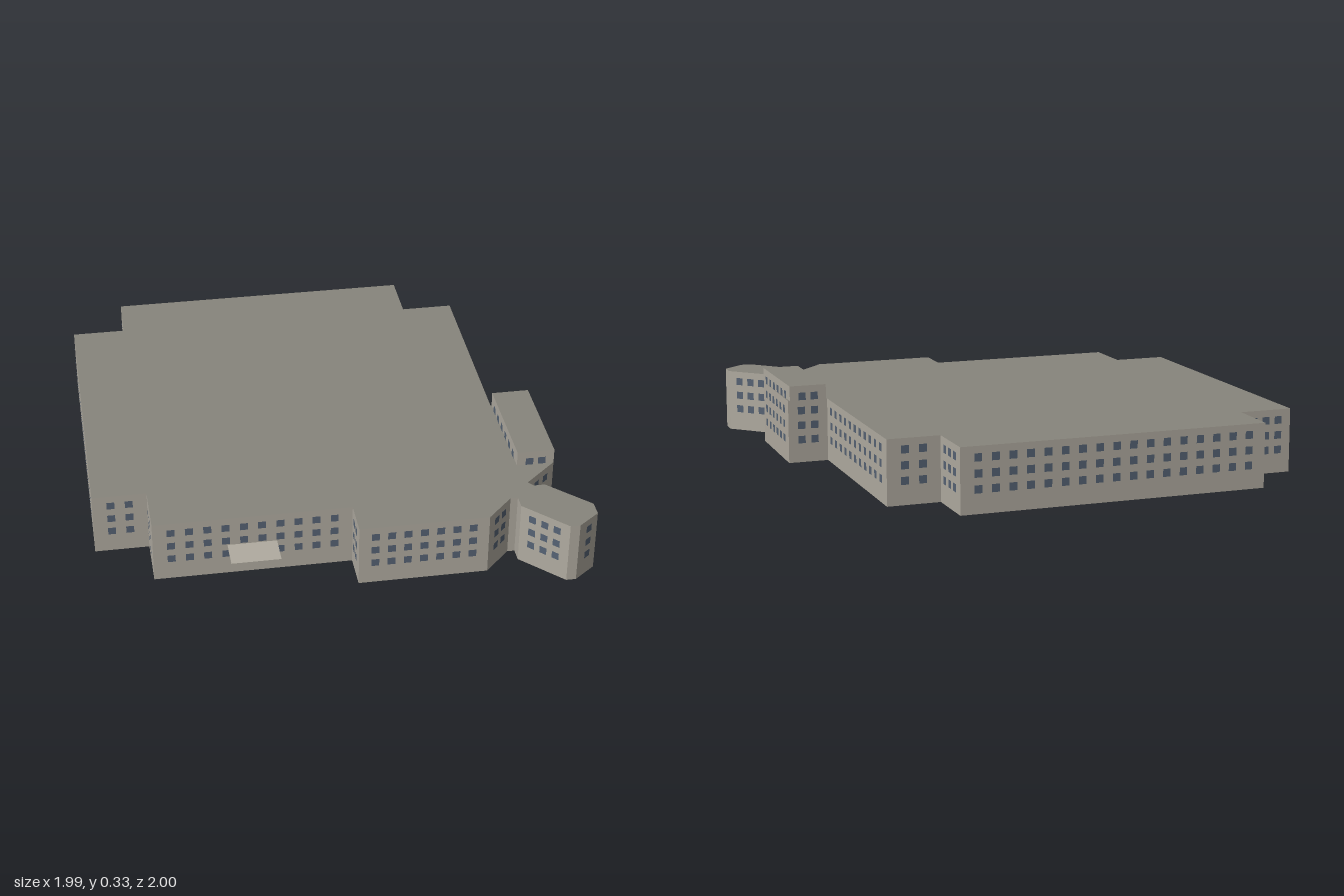
import * as THREE from 'three';
import { mergeGeometries } from 'three/addons/utils/BufferGeometryUtils.js';

const HEIGHT = 0.267;      // main roof level
const TOP = 0.329;         // upper storey roof level
const BAY = 0.075;         // smallest window spacing
const WIN = 0.032;         // window size

// Footprints as [x, z], clockwise seen from above
const MAIN = [
  [-0.76, -1], [0.53, -1], [0.53, -0.77], [0.75, -0.77], [0.745, 0.09],
  [0.915, 0.09], [0.905, 0.55], [0.765, 0.675], [0.785, 0.7], [0.83, 0.7],
  [0.99, 0.86], [0.99, 0.925], [0.9, 0.995], [0.86, 0.995], [0.7, 0.83],
  [0.7, 0.772], [0.67, 0.772], [0.56, 0.885], [0.032, 0.885], [0.032, 0.733],
  [-0.775, 0.733], [-0.775, 0.51], [-0.997, 0.51], [-0.99, -0.78], [-0.765, -0.78],
];
const UPPER = [[0.75, 0.09], [0.907, 0.09], [0.905, 0.55], [0.75, 0.55]];

// Upright rectangle centred on (x, y, z), facing the outward normal (nx, nz)
function panel(w, h, x, y, z, nx, nz) {
  return new THREE.PlaneGeometry(w, h)
    .rotateY(Math.atan2(nx, nz))
    .translate(x, y, z);
}

// Open-bottomed block: walls, evenly spaced windows and a flat roof
function buildBlock(name, outline, y0, y1, rows, mats) {
  const group = new THREE.Group();
  group.name = name;
  const walls = [], windows = [];
  outline.forEach(([ax, az], i) => {
    const [bx, bz] = outline[(i + 1) % outline.length];
    const dx = bx - ax, dz = bz - az, len = Math.hypot(dx, dz);
    const nx = dz / len, nz = -dx / len;
    walls.push(panel(len, y1 - y0, (ax + bx) / 2, (y0 + y1) / 2, (az + bz) / 2, nx, nz));
    const count = Math.floor(len / BAY);
    for (let k = 1; k <= count; k++) {
      const t = k / (count + 1);
      for (const y of rows) {
        windows.push(panel(WIN, WIN, ax + dx * t + nx * 0.003, y, az + dz * t + nz * 0.003, nx, nz));
      }
    }
  });
  const shape = new THREE.Shape(outline.map(([x, z]) => new THREE.Vector2(x, -z)));
  const roof = new THREE.ShapeGeometry(shape).rotateX(-Math.PI / 2).translate(0, y1, 0);
  const add = (part, geometry, material) => {
    const mesh = new THREE.Mesh(geometry, material);
    mesh.name = part;
    group.add(mesh);
  };
  add('walls', mergeGeometries(walls), mats.wall);
  add('windows', mergeGeometries(windows), mats.glass);
  add('roof', roof, mats.roof);
  return group;
}

export function createModel() {
  const material = (name, color, side = THREE.DoubleSide) => {
    const m = new THREE.MeshStandardMaterial({ color, side });
    m.name = name;
    return m;
  };
  const mats = {
    wall: material('wall stone', 0xb0aba0),
    roof: material('roof grey', 0x87857c),
    glass: material('window glass', 0x566374, THREE.FrontSide),
  };

  const model = new THREE.Group();
  model.name = 'officeBuilding';
  model.add(buildBlock('mainBuilding', MAIN, 0, HEIGHT, [0.098, 0.16, 0.223], mats));
  model.add(buildBlock('upperStorey', UPPER, HEIGHT, TOP, [0.284], mats));

  // Entrance glazing with a thin canopy above it
  const entrance = new THREE.Mesh(new THREE.BoxGeometry(0.13, 0.065, 0.008), mats.glass);
  entrance.name = 'entranceGlazing';
  entrance.position.set(-0.375, 0.097, 0.737);
  const canopy = new THREE.Mesh(new THREE.BoxGeometry(0.2, 0.009, 0.125), mats.wall);
  canopy.name = 'entranceCanopy';
  canopy.position.set(-0.375, 0.133, 0.7955);
  model.add(entrance, canopy);
  return model;
}
